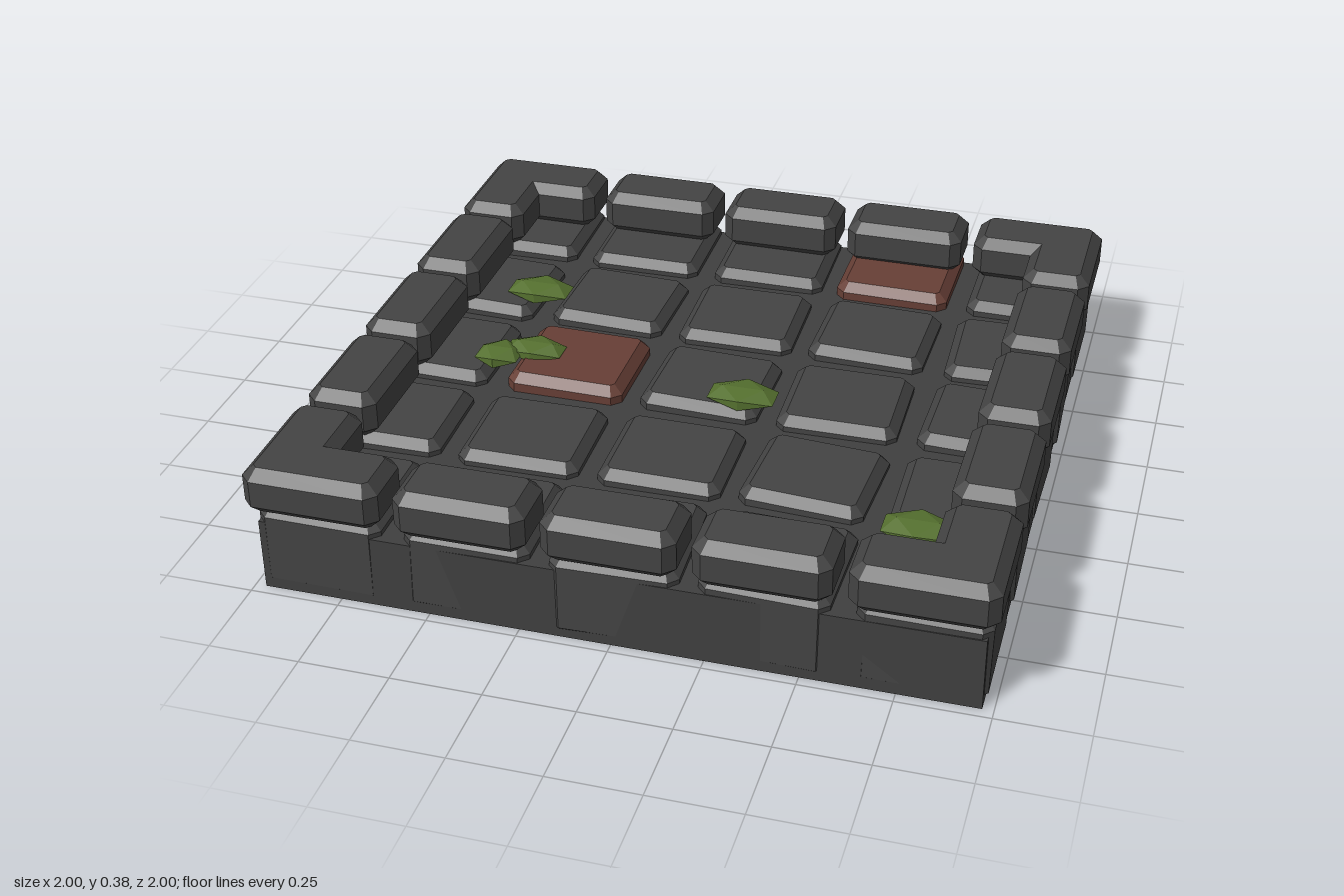
import * as THREE from 'three';

const mat = (name, color) => {
  const m = new THREE.MeshStandardMaterial({ color });
  m.name = name;
  return m;
};

// Outline of a rectangle centred on the origin
const rect = (w, d) => [[-w / 2, -d / 2], [w / 2, -d / 2], [w / 2, d / 2], [-w / 2, d / 2]];

// Stone with chamfered edges: an outline [x, z] raised from y0 to y1, outward corners cut
function chamferedStone(outline, y0, y1, bevel) {
  const pts = [];
  const n = outline.length;
  outline.forEach(([x, z], i) => {
    const p = new THREE.Vector2(x, -z);
    const a = new THREE.Vector2(outline[(i + n - 1) % n][0], -outline[(i + n - 1) % n][1]);
    const b = new THREE.Vector2(outline[(i + 1) % n][0], -outline[(i + 1) % n][1]);
    const toA = a.sub(p).normalize();
    const toB = b.sub(p).normalize();
    // the outline runs clockwise once z is flipped, so outward corners have a positive cross product
    if (toA.cross(toB) > 0) {
      pts.push(p.clone().addScaledVector(toA, bevel), p.clone().addScaledVector(toB, bevel));
    } else pts.push(p);
  });
  const geo = new THREE.ExtrudeGeometry(new THREE.Shape(pts), {
    depth: y1 - y0 - 2 * bevel,
    bevelEnabled: true,
    bevelSegments: 1,
    bevelThickness: bevel,
    bevelSize: bevel,
    bevelOffset: -bevel,
  });
  geo.rotateX(-Math.PI / 2);
  geo.translate(0, y0 + bevel, 0);
  return geo;
}

export function createModel() {
  const stone = mat('dark stone', 0x444444);
  const mortar = mat('mortar', 0x404040);
  const brick = mat('red brick', 0x673f36);
  const moss = mat('moss', 0x55702f);

  const model = new THREE.Group();
  model.name = 'stoneFloor';
  const add = (name, geo, material, parent) => {
    const mesh = new THREE.Mesh(geo, material);
    mesh.name = name;
    parent.add(mesh);
    return mesh;
  };

  // Slab that fills the joints
  const base = add('base', new THREE.BoxGeometry(1.94, 0.21, 1.94), mortar, model);
  base.position.y = 0.105;

  // Paving stones, each laid slightly crooked (yaw in degrees, by row from the back)
  const paving = new THREE.Group();
  paving.name = 'paving';
  model.add(paving);
  const yaw = [
    [1, 0.5, 1, -0.5, 0],
    [-2, -1, 1, -1, 2],
    [-1, 0, -1, 1, -1],
    [1.5, 1, 0.5, -3, 1],
    [0, 1, 2, -1, 0.5],
  ];
  const xs = [-0.805, -0.4, 0, 0.4, 0.805];
  const zs = [-0.805, -0.4, 0, 0.4, 0.795];
  zs.forEach((z, r) => xs.forEach((x, c) => {
    const red = (r === 0 && c === 3) || (r === 2 && c === 1);
    const geo = chamferedStone(rect(0.345, r === 0 || r === 4 ? 0.35 : 0.33), 0.006, red ? 0.262 : 0.252, 0.026);
    const tile = add(red ? 'redPaver' : 'paver', geo, red ? brick : stone, paving);
    const tilt = ((r * 2 + c * 3) % 5 - 2) * 0.006;
    tile.position.set(x, 0, z);
    tile.rotation.set(tilt, THREE.MathUtils.degToRad(yaw[r][c]), -0.012 + tilt * 0.5);
  }));

  // Raised rim: three straight stones and one L-shaped corner for each side
  const rim = new THREE.Group();
  rim.name = 'rim';
  model.add(rim);
  const straight = chamferedStone(rect(0.36, 0.2), 0.245, 0.382, 0.03);
  const corner = chamferedStone(
    [[-1, -1], [-0.62, -1], [-0.62, -0.8], [-0.8, -0.8], [-0.8, -0.62], [-1, -0.62]], 0.245, 0.382, 0.03);
  for (let i = 0; i < 4; i++) {
    const side = new THREE.Group();
    side.name = 'rimSide';
    side.rotation.y = i * Math.PI / 2;
    rim.add(side);
    add('rimCorner', corner, stone, side);
    for (const x of [-0.4, 0, 0.4]) {
      add('rimStone', straight, stone, side).position.set(x, 0, -0.9);
    }
  }

  // Moss clumps: flattened low-poly lumps [x, y, z, radius x, radius z]
  const lump = new THREE.IcosahedronGeometry(1, 0);
  const clumps = [
    [-0.64, 0.262, -0.35, 0.11, 0.077],
    [0.12, 0.262, 0.09, 0.113, 0.077],
    [0.725, 0.262, 0.61, 0.108, 0.077],
    [-0.53, 0.268, 0.01, 0.1, 0.065],
    [-0.625, 0.265, 0.06, 0.075, 0.072],
  ];
  for (const [x, y, z, rx, rz] of clumps) {
    const m = add('mossClump', lump, moss, model);
    m.position.set(x, y, z);
    m.scale.set(rx, 0.028, rz);
  }
  return model;
}
